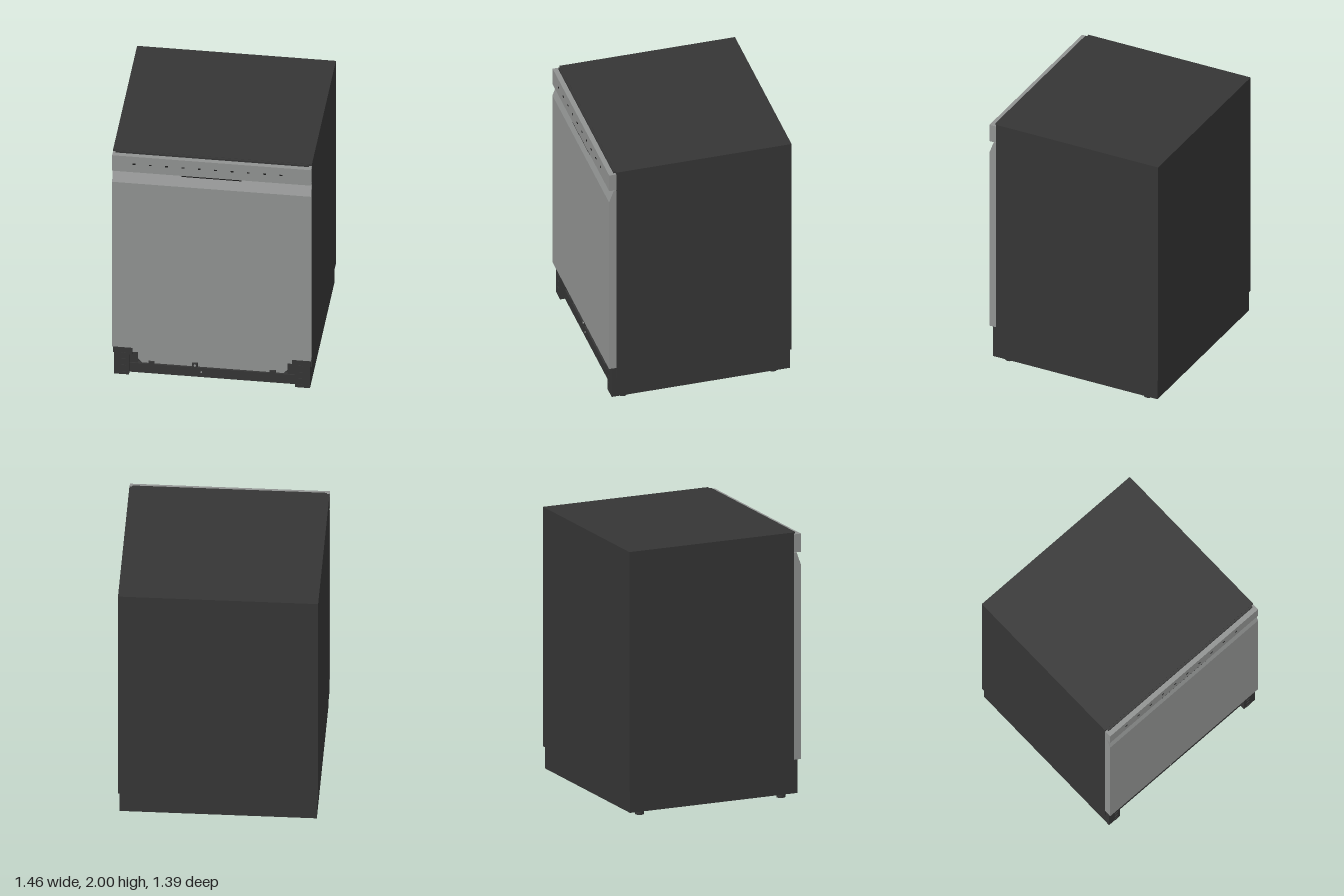
import * as THREE from 'three';

export function createModel() {
  const root = new THREE.Group();
  const mat = (name, color) => Object.assign(new THREE.MeshStandardMaterial({ color }), { name });
  const steel = mat('brushed steel', 0x909291);
  const dark = mat('dark casing', 0x353535);
  const black = mat('black details', 0x1c1c1c);

  const add = (name, geo, material) => {
    const m = new THREE.Mesh(geo, material);
    m.name = name;
    root.add(m);
    return m;
  };
  // Box from its limits on each axis
  const box = (name, [x0, x1], [y0, y1], [z0, z1], material) =>
    add(name, new THREE.BoxGeometry(x1 - x0, y1 - y0, z1 - z0)
      .translate((x0 + x1) / 2, (y0 + y1) / 2, (z0 + z1) / 2), material);
  const shape = (pts) => new THREE.Shape(pts.map(([a, b]) => new THREE.Vector2(a, b)));
  // Side profile (z, y) extruded across the width
  const across = (name, pts, width, material) =>
    add(name, new THREE.ExtrudeGeometry(shape(pts), { depth: width, bevelEnabled: false })
      .rotateY(-Math.PI / 2).translate(width / 2, 0, 0), material);

  // Cabinet with the kick recess cut out of its lower front
  across('cabinet', [[-0.69, 0.2], [0.6, 0.2], [0.6, 0.29], [0.64, 0.29], [0.64, 2], [-0.69, 2]], 1.46, dark);
  box('base', [-0.72, 0.72], [0.035, 0.2], [-0.68, 0.605], dark);
  box('topSeal', [-0.71, 0.71], [1.975, 1.998], [0.64, 0.656], dark);

  // Door with its sloped finger grip, and the control panel above
  across('door', [[0.64, 0.29], [0.695, 0.29], [0.695, 1.75], [0.66, 1.845], [0.64, 1.845]], 1.46, steel);
  box('controlPanel', [-0.73, 0.73], [1.848, 1.985], [0.64, 0.694], steel);
  box('gripLip', [-0.22, 0.22], [1.838, 1.848], [0.655, 0.692], black);
  for (let i = 0; i < 10; i++) {
    const x = -0.57 + i * 0.12;
    box('button', [x - 0.01, x + 0.01], [1.916, 1.925], [0.69, 0.697], black);
  }

  // Kick area: upper trim, inner plate with clipped corners, lower bar
  box('kickTrim', [-0.59, 0.59], [0.22, 0.29], [0.6, 0.645], steel);
  add('kickPlate', new THREE.ExtrudeGeometry(
    shape([[-0.52, 0.115], [0.52, 0.115], [0.55, 0.15], [0.55, 0.22], [-0.55, 0.22], [-0.55, 0.15]]),
    { depth: 0.015, bevelEnabled: false }).translate(0, 0, 0.605), steel);
  box('kickBar', [-0.61, 0.61], [0.035, 0.115], [0.6, 0.635], dark);
  for (const x of [-0.45, 0.44]) box('kickClip', [x - 0.022, x + 0.022], [0.115, 0.135], [0.615, 0.635], dark);
  box('kickLatch', [-0.15, -0.11], [0.115, 0.15], [0.615, 0.635], dark);
  add('latchScrew', new THREE.CylinderGeometry(0.008, 0.008, 0.008, 12)
    .rotateX(Math.PI / 2).translate(-0.13, 0.134, 0.637), steel);
  add('barScrew', new THREE.CylinderGeometry(0.007, 0.007, 0.008, 12)
    .rotateX(Math.PI / 2).translate(-0.083, 0.08, 0.637), steel);

  for (const s of [-1, 1]) {
    const span = (a, b) => (s > 0 ? [a, b] : [-b, -a]);
    // Front corner posts with brackets and ribs
    box('frontPost', span(0.61, 0.72), [0.035, 0.29], [0.605, 0.672], dark);
    box('cabinetFlange', span(0.7, 0.73), [0.2, 0.29], [0.6, 0.64], dark);
    box('postFlange', span(0.588, 0.61), [0.205, 0.29], [0.6, 0.66], dark);
    box('postBracket', span(0.55, 0.61), [0.115, 0.21], [0.6, 0.625], dark);
    for (const y of [0.055, 0.11, 0.165, 0.22, 0.265])
      box('postRib', span(0.635, 0.665), [y - 0.008, y + 0.008], [0.67, 0.677], dark);

    // Levelling feet
    for (const z of [-0.57, 0.57]) {
      add('foot', new THREE.CylinderGeometry(0.033, 0.033, 0.026, 24).translate(s * 0.65, 0.013, z), dark);
      add('footStem', new THREE.CylinderGeometry(0.025, 0.025, 0.012, 16).translate(s * 0.65, 0.031, z), dark);
    }
  }
  return root;
}
